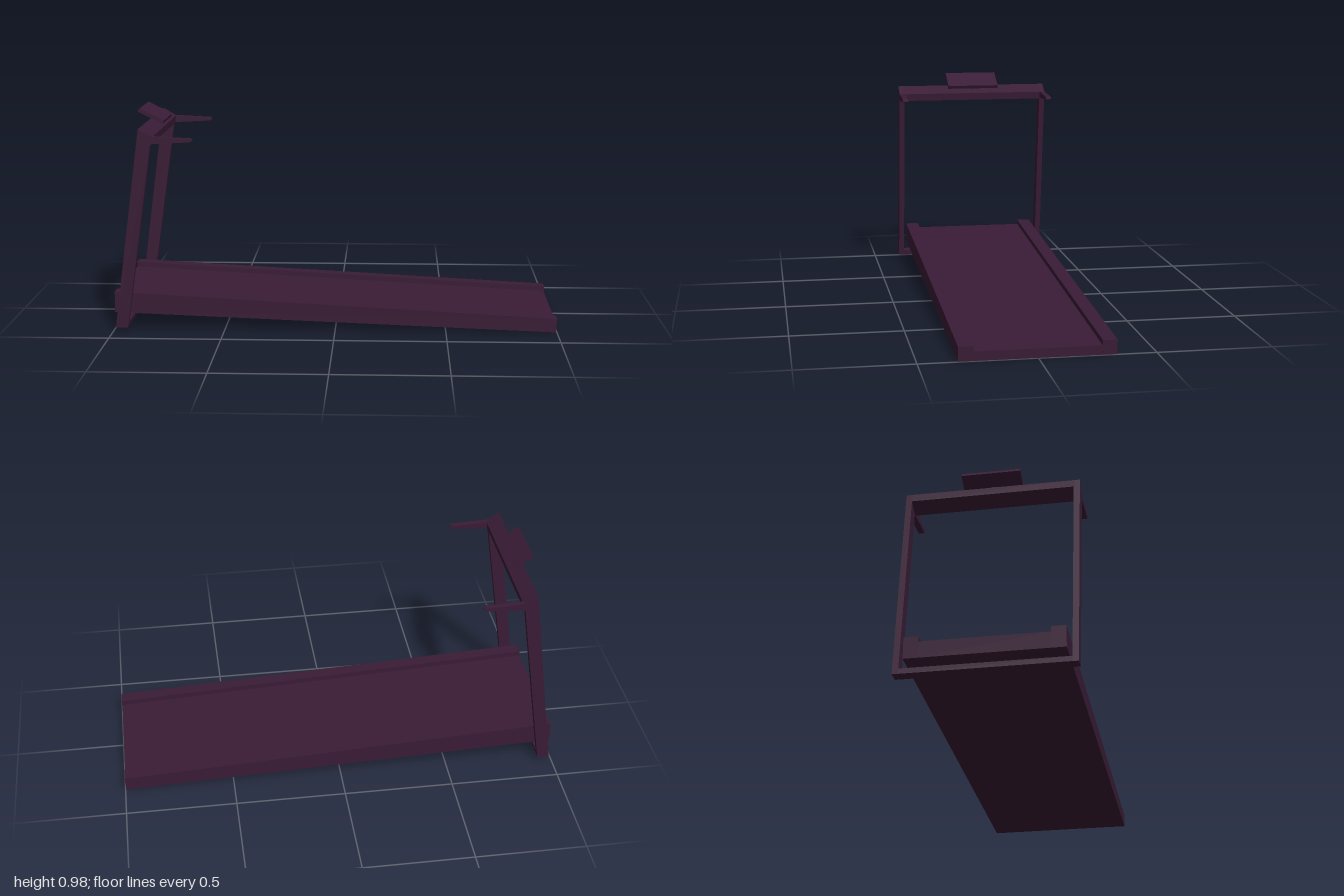
import * as THREE from 'three';

const material = new THREE.MeshStandardMaterial({ color: 0x3a1c36, flatShading: true });

// Side profile in x/y, extruded across z from z0 to z1
function prism(name, points, z0, z1) {
  const shape = new THREE.Shape(points.map(([x, y]) => new THREE.Vector2(x, y)));
  const geometry = new THREE.ExtrudeGeometry(shape, { depth: z1 - z0, bevelEnabled: false });
  geometry.translate(0, 0, z0);
  const mesh = new THREE.Mesh(geometry, material);
  mesh.name = name;
  return mesh;
}

export function createModel() {
  const model = new THREE.Group();
  model.name = 'treadmill';

  // Sloping running deck, sunk between the side rails
  model.add(prism('runningDeck', [[-1, 0.075], [0.995, 0], [0.997, 0.04], [-1, 0.147]], -0.27, 0.27));

  const rail = [[-1, 0.075], [0.996, 0], [1, 0.063], [-1, 0.17]];
  const upright = [[-0.99, 0.015], [-0.935, 0.015], [-0.81, 0.885], [-0.868, 0.92]];
  const handle = [[-0.83, 0.852], [-0.645, 0.862], [-0.63, 0.866], [-0.63, 0.873], [-0.64, 0.877], [-0.83, 0.887]];

  // Mirrored rails, uprights and handles
  for (const [side, s] of [['left', -1], ['right', 1]]) {
    const mirrored = (part, points, inner, outer) =>
      model.add(prism(side + part, points, Math.min(s * inner, s * outer), Math.max(s * inner, s * outer)));
    mirrored('SideRail', rail, 0.27, 0.332);
    mirrored('Upright', upright, 0.352, 0.378);
    mirrored('Handle', handle, 0.352, 0.378);
  }

  // Bars joining the uprights at the floor and at the top
  model.add(prism('baseCrossbar', [[-0.99, 0.015], [-0.935, 0.015], [-0.931, 0.04], [-0.986, 0.04]], -0.355, 0.355));
  model.add(prism('topCrossbar', [[-0.873, 0.885], [-0.81, 0.85], [-0.805, 0.885], [-0.868, 0.92]], -0.355, 0.355));

  // Tilted console panel on a short neck
  model.add(prism('consoleNeck', [[-0.847, 0.895], [-0.833, 0.89], [-0.833, 0.94], [-0.847, 0.946]], -0.012, 0.012));
  model.add(prism('consolePanel', [[-0.909, 0.966], [-0.797, 0.91], [-0.789, 0.925], [-0.9, 0.981]], -0.128, 0.128));

  return model;
}
